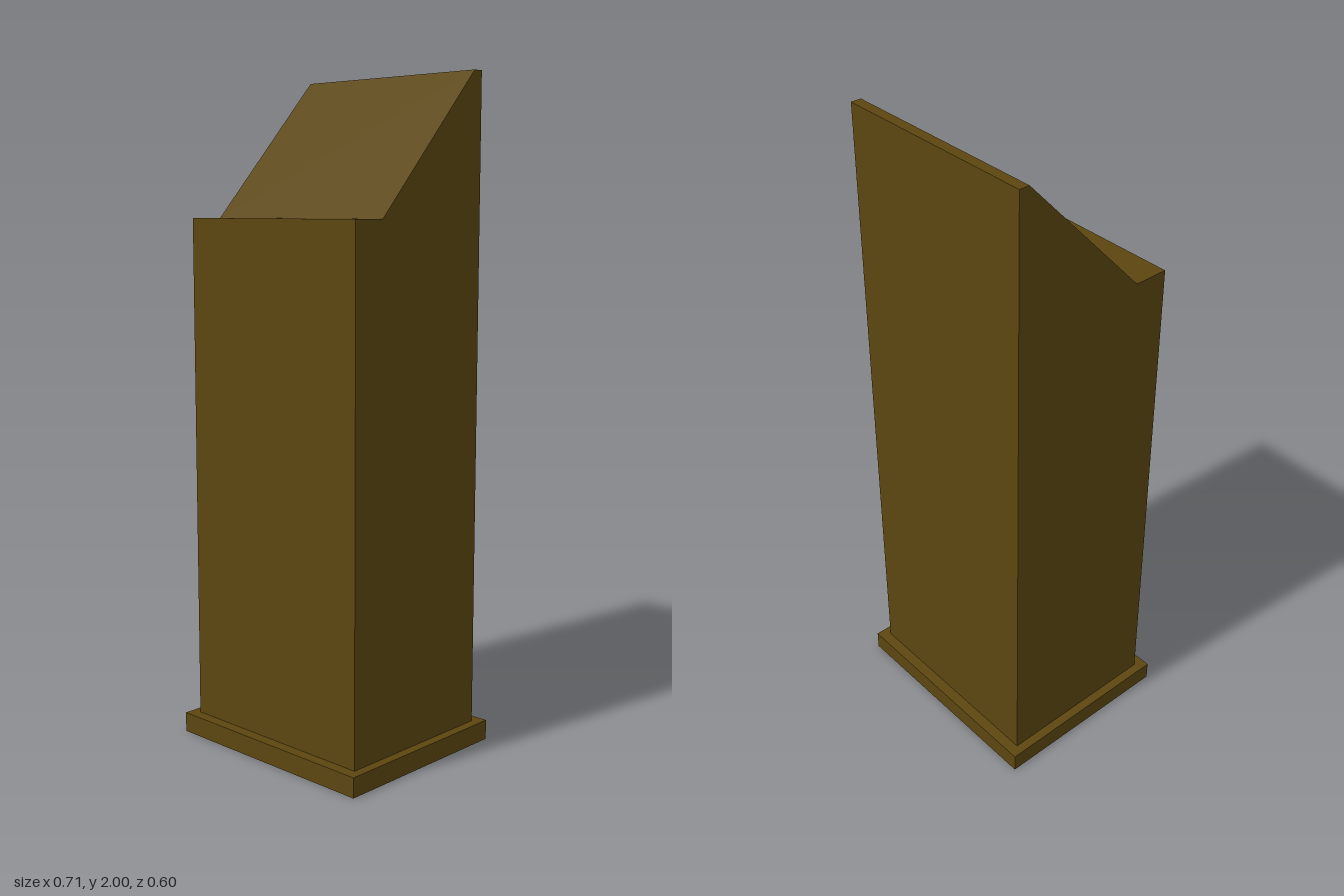
import * as THREE from 'three';

export function createModel() {
  const model = new THREE.Group();
  model.name = 'pedestal';

  const darkWood = new THREE.MeshStandardMaterial({ color: 0x5c4610 });
  darkWood.name = 'darkWood';

  // Plinth slab on the floor
  const plinthHeight = 0.06;
  const plinth = new THREE.Mesh(new THREE.BoxGeometry(0.713, plinthHeight, 0.595), darkWood);
  plinth.name = 'plinth';
  plinth.position.y = plinthHeight / 2;
  model.add(plinth);

  // Cabinet: side profile (z, y) with a front ledge and sloping face, extruded across x
  const width = 0.656;
  const profile = new THREE.Shape([
    [-0.263, plinthHeight],
    [0.263, plinthHeight],
    [0.263, 1.583],
    [0.156, 1.583],
    [-0.231, 2],
    [-0.263, 2],
  ].map(([z, y]) => new THREE.Vector2(z, y)));
  const cabinetGeometry = new THREE.ExtrudeGeometry(profile, { depth: width, bevelEnabled: false });
  cabinetGeometry.translate(0, 0, -width / 2).rotateY(-Math.PI / 2);
  const cabinet = new THREE.Mesh(cabinetGeometry, darkWood);
  cabinet.name = 'cabinet';
  model.add(cabinet);

  return model;
}
